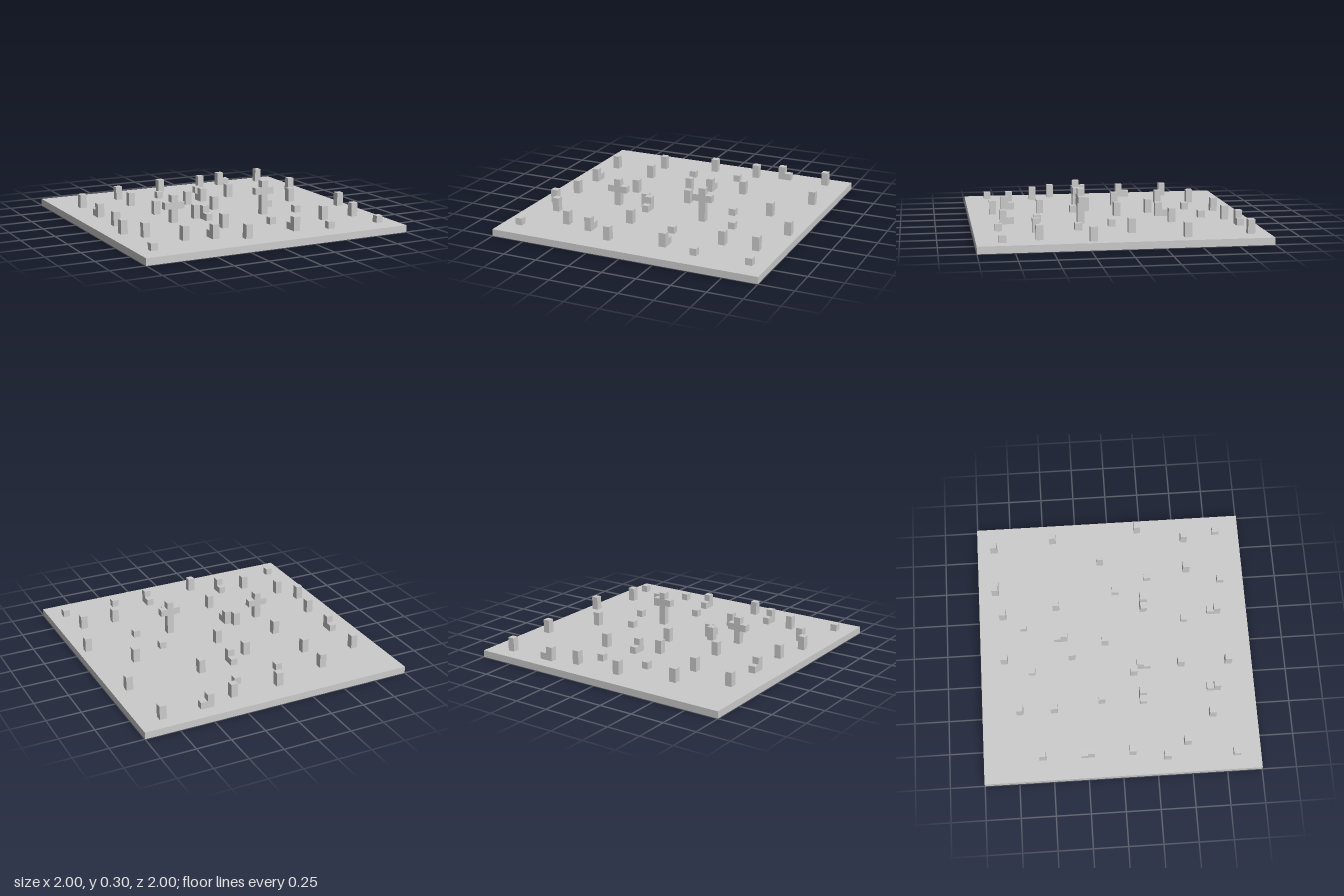
import * as THREE from 'three';

const CELL = 0.05; // every block sits on a grid of this step
const BASE = 0.05; // slab thickness

export function createModel() {
  const group = new THREE.Group();
  const material = new THREE.MeshStandardMaterial({ color: 0xcccccc, flatShading: true });

  // Box standing on height y
  function box(name, w, h, d, x, y, z, parent = group) {
    const mesh = new THREE.Mesh(new THREE.BoxGeometry(w, h, d), material);
    mesh.name = name;
    mesh.position.set(x, y + h / 2, z);
    parent.add(mesh);
  }

  // Ground slab
  box('ground', 2, BASE, 2, 0, 0, 0);

  // Two-cell posts: [x, z]
  const posts = [
    [0.475, -0.875], [0.825, -0.875], [-0.075, -0.825], [0.275, -0.825],
    [-0.475, -0.725], [-0.825, -0.575], [-0.475, -0.475], [0.075, -0.375],
    [0.325, -0.425], [0.875, -0.425], [-0.075, -0.325], [-0.825, -0.225],
    [-0.425, -0.125], [0.025, -0.075], [0.675, -0.075], [-0.825, 0.075],
    [-0.225, 0.125], [-0.175, 0.175], [0.925, 0.225], [-0.875, 0.325],
    [-0.775, 0.475], [-0.175, 0.475], [0.575, 0.575], [0.825, 0.575],
    [-0.575, 0.675], [-0.375, 0.725], [0.225, 0.775], [-0.175, 0.825],
  ];
  for (const [x, z] of posts) box('post', CELL, 2 * CELL, CELL, x, BASE, z);

  // Single-cell blocks, some leaning against a post: [x, z]
  const blocks = [
    [0.525, -0.875], [0.175, -0.675], [-0.175, -0.625], [0.075, -0.425],
    [-0.825, -0.275], [0.425, 0.025], [-0.175, 0.225], [0.525, 0.275],
    [0.175, 0.525], [-0.375, 0.675], [0.225, 0.725], [-0.875, 0.825],
    [0.475, 0.825], [0.875, 0.825],
  ];
  for (const [x, z] of blocks) box('block', CELL, CELL, CELL, x, BASE, z);

  // Crosses: a trunk of some cells with an arm each side, one cell below the top
  function cross(name, x, z, cells) {
    const part = new THREE.Group();
    part.name = name;
    group.add(part);
    box('trunk', CELL, cells * CELL, CELL, x, BASE, z, part);
    for (const side of [-1, 1]) {
      box('arm', CELL, CELL, CELL, x + side * CELL, BASE + (cells - 2) * CELL, z, part);
    }
  }
  cross('shortCross', -0.425, 0.175, 4);
  cross('tallCross', 0.275, 0.225, 5);

  return group;
}
